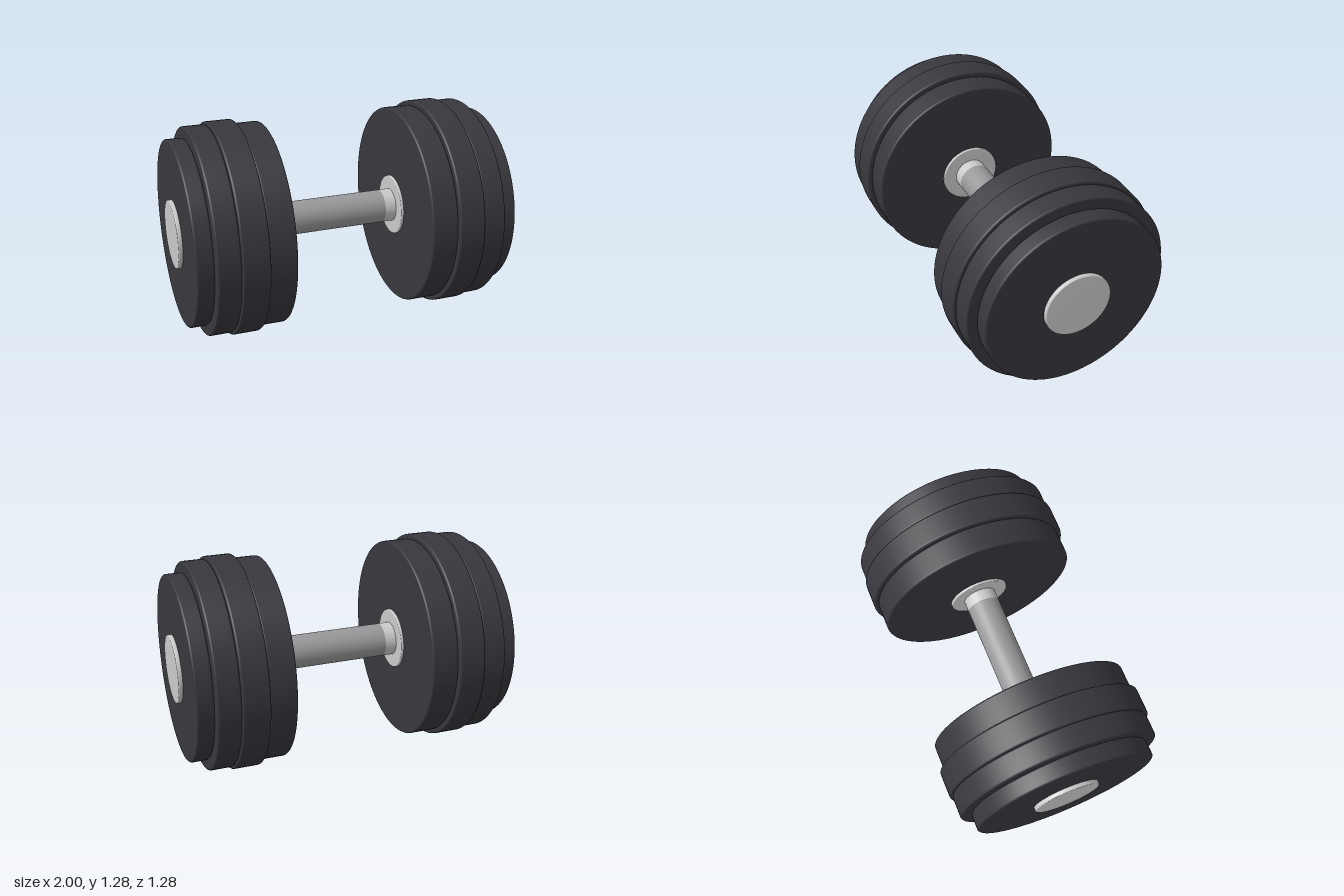
import * as THREE from 'three';

const AXIS_Y = 0.64;

// Solid disc along x from x0 to x1, with rounded rims
function disc(name, x0, x1, radius, round, material) {
  const points = [new THREE.Vector2(0, x0)];
  const steps = 4;
  for (const [centre, start] of [[x0 + round, -Math.PI / 2], [x1 - round, 0]]) {
    for (let i = 0; i <= steps; i++) {
      const a = start + (i / steps) * Math.PI / 2;
      points.push(new THREE.Vector2(radius - round + round * Math.cos(a), centre + round * Math.sin(a)));
    }
  }
  points.push(new THREE.Vector2(0, x1));
  const geometry = new THREE.LatheGeometry(points, 96);
  geometry.rotateZ(-Math.PI / 2);
  const mesh = new THREE.Mesh(geometry, material);
  mesh.name = name;
  return mesh;
}

// Open tube along x for the handle
function rod(name, x0, x1, radius, material) {
  const geometry = new THREE.CylinderGeometry(radius, radius, x1 - x0, 64, 1, true);
  geometry.rotateZ(-Math.PI / 2);
  geometry.translate((x0 + x1) / 2, 0, 0);
  const mesh = new THREE.Mesh(geometry, material);
  mesh.name = name;
  return mesh;
}

export function createModel() {
  const rubber = new THREE.MeshStandardMaterial({ name: 'dark rubber', color: 0x37373d });
  const steel = new THREE.MeshStandardMaterial({ name: 'polished steel', color: 0xcacaca });
  const knurl = new THREE.MeshStandardMaterial({ name: 'grey grip', color: 0x98989a });

  const model = new THREE.Group();
  model.name = 'dumbbell';
  const body = new THREE.Group();
  body.name = 'body';
  body.position.y = AXIS_Y;
  model.add(body);

  // Central grip
  body.add(rod('grip', -0.325, 0.325, 0.102, knurl));

  // Discs of one weight, from the inside outwards: name, x0, x1, radius, rim rounding, material
  const parts = [
    ['innerCollar', 0.395, 0.415, 0.185, 0.006, steel],
    ['innerPlate', 0.41, 0.573, 0.612, 0.012, rubber],
    ['largestPlate', 0.573, 0.735, 0.64, 0.012, rubber],
    ['outerPlate', 0.735, 0.872, 0.625, 0.012, rubber],
    ['endPlate', 0.872, 0.975, 0.56, 0.012, rubber],
    ['endCap', 0.97, 1, 0.205, 0.007, steel],
  ];
  for (const side of [1, -1]) {
    const weight = new THREE.Group();
    weight.name = side > 0 ? 'leftWeight' : 'rightWeight';
    weight.add(rod('handleEnd', 0.325, 0.4, 0.102, steel));
    for (const part of parts) weight.add(disc(...part));
    // Every part is round, so a half turn mirrors the weight
    if (side < 0) weight.rotation.y = Math.PI;
    body.add(weight);
  }
  return model;
}
